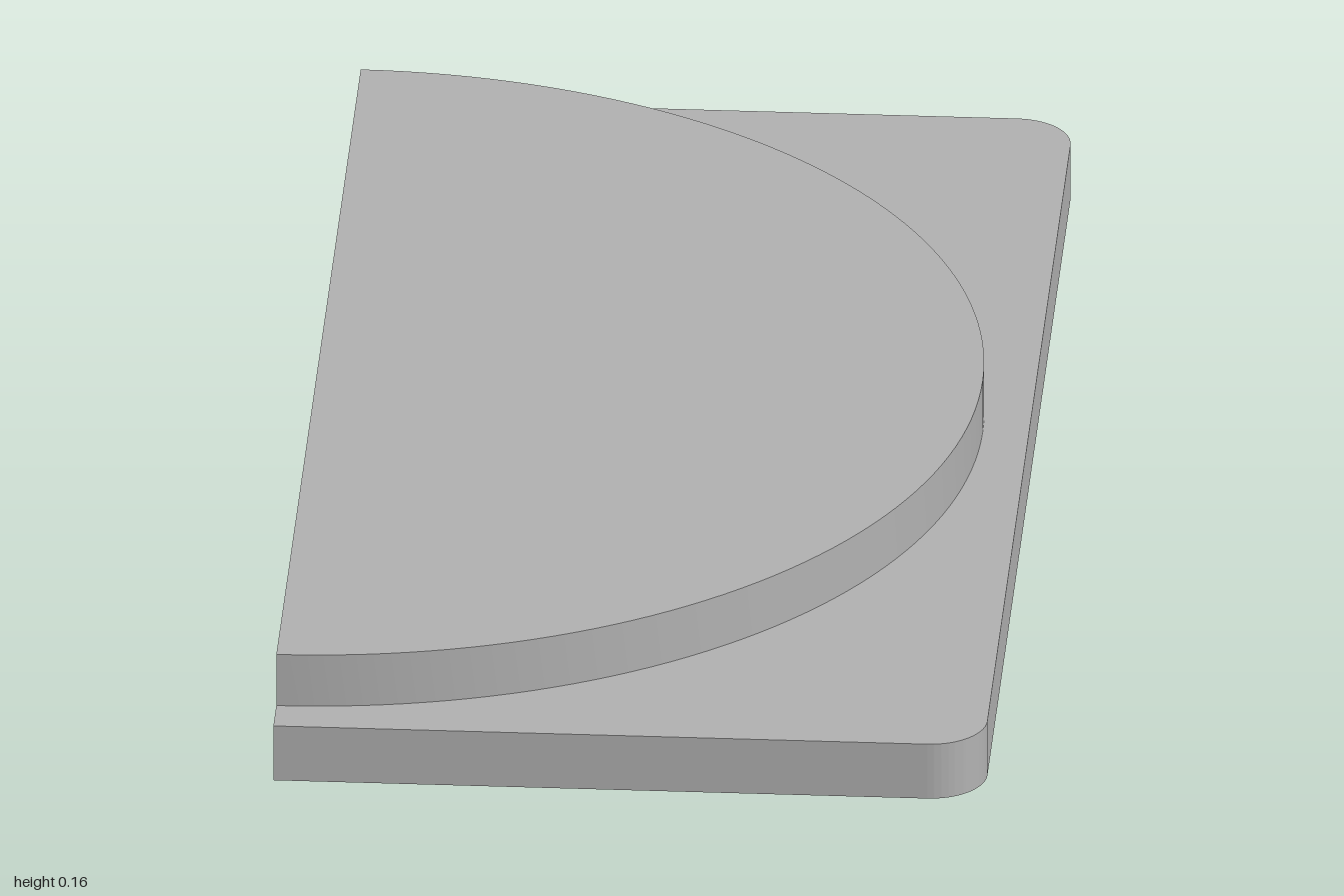
import * as THREE from 'three';
import { toCreasedNormals } from 'three/addons/utils/BufferGeometryUtils.js';

const BASE_H = 0.085, TOP_H = 0.165;
const CUT_X = -0.5, EDGE_X = 0.5, HALF_Z = 1;
const CORNER = 0.08, DISC_R = 0.935;

// Extrude a plan outline upward between two heights, smooth on its arcs only
function slab(name, shape, y0, y1, material) {
  const geometry = new THREE.ExtrudeGeometry(shape, { depth: y1 - y0, bevelEnabled: false, curveSegments: 48 });
  geometry.rotateX(-Math.PI / 2);
  geometry.translate(0, y0, 0);
  const mesh = new THREE.Mesh(toCreasedNormals(geometry, Math.PI / 6), material);
  mesh.name = name;
  return mesh;
}

export function createModel() {
  const group = new THREE.Group();
  group.name = 'steppedHalfPlate';

  const grey = new THREE.MeshStandardMaterial({ color: 0xb3b3b3 });
  grey.name = 'grey';

  // Base plate: square corners on the cut side, rounded on the other
  const base = new THREE.Shape();
  base.moveTo(CUT_X, -HALF_Z);
  base.lineTo(EDGE_X - CORNER, -HALF_Z);
  base.absarc(EDGE_X - CORNER, -HALF_Z + CORNER, CORNER, -Math.PI / 2, 0);
  base.lineTo(EDGE_X, HALF_Z - CORNER);
  base.absarc(EDGE_X - CORNER, HALF_Z - CORNER, CORNER, 0, Math.PI / 2);
  base.lineTo(CUT_X, HALF_Z);
  base.closePath();
  group.add(slab('basePlate', base, 0, BASE_H, grey));

  // Raised half disc, flush with the cut side
  const disc = new THREE.Shape();
  disc.absarc(CUT_X, 0, DISC_R, -Math.PI / 2, Math.PI / 2);
  disc.closePath();
  group.add(slab('raisedHalfDisc', disc, BASE_H, TOP_H, grey));

  return group;
}
